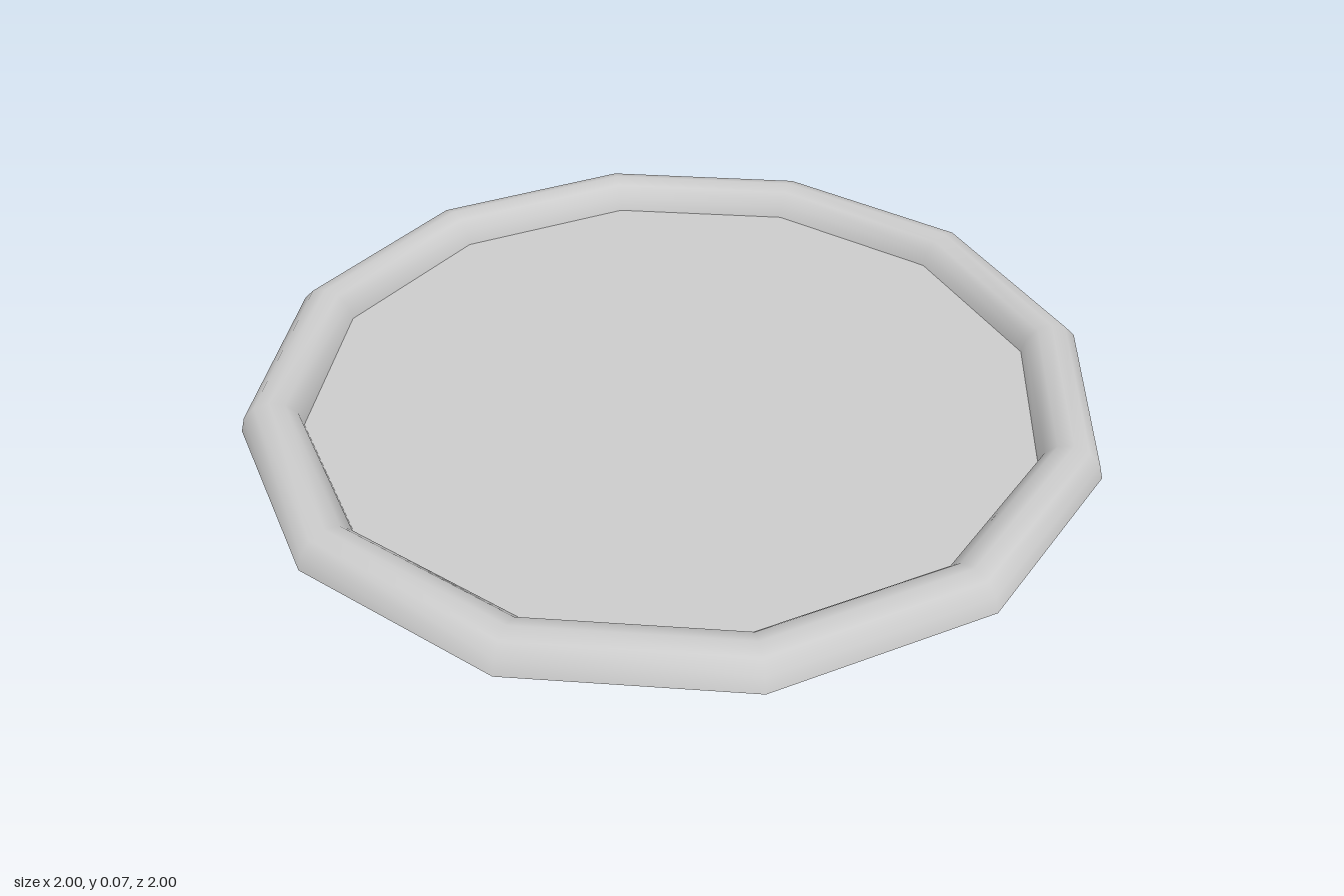
import * as THREE from 'three';

const SIDES = 12;      // corners around the tray
const RING = 0.93;     // radius of the rim's crest
const TUBE = 0.07;     // radius of the rim's half-round section
const ARC_STEPS = 6;

export function createModel() {
  const group = new THREE.Group();
  group.name = 'tray';
  const material = new THREE.MeshStandardMaterial({ color: 0xcccccc, side: THREE.DoubleSide });

  // Half-round rim, open underneath: outer edge, over the crest, to the inner edge
  const profile = [];
  for (let i = 0; i <= ARC_STEPS; i++) {
    const a = (i / ARC_STEPS) * Math.PI;
    profile.push(new THREE.Vector2(RING + TUBE * Math.cos(a), TUBE * Math.sin(a)));
  }
  const rim = new THREE.Mesh(new THREE.LatheGeometry(profile, SIDES), material);
  rim.name = 'rim';
  group.add(rim);

  // Thin flat floor joining the rim's inner edge
  const floor = new THREE.Mesh(new THREE.CircleGeometry(RING - TUBE, SIDES).rotateX(-Math.PI / 2), material);
  floor.name = 'floor';
  group.add(floor);

  return group;
}
